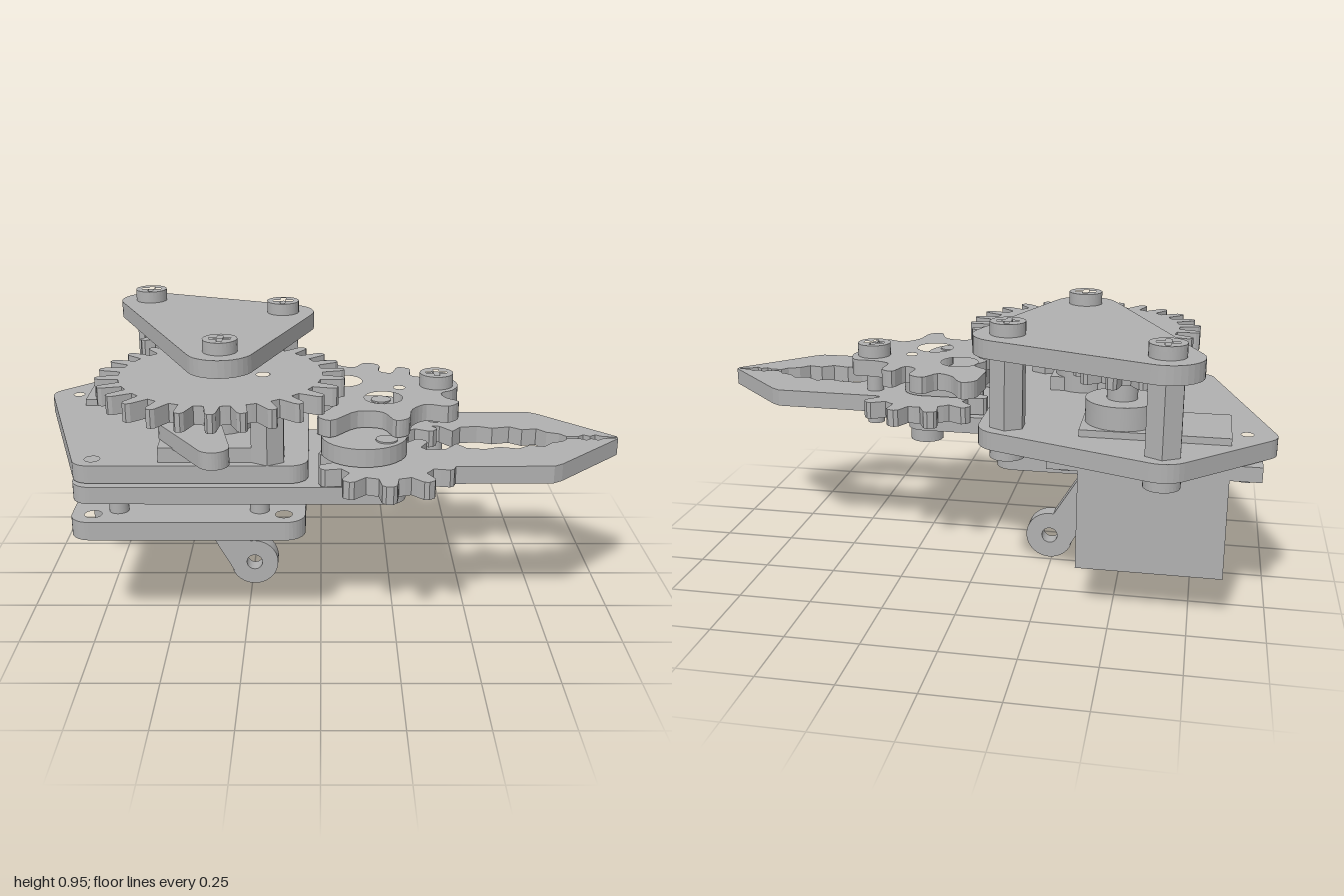
import * as THREE from 'three';

const grey = new THREE.MeshStandardMaterial({ color: 0xb0b0b0 });
grey.name = 'grey plastic';

export function createModel() {
  const root = new THREE.Group();
  root.name = 'roboticGripper';

  const add = (geo, name) => {
    const m = new THREE.Mesh(geo, grey);
    m.name = name;
    root.add(m);
    return m;
  };
  const V = ([x, z]) => new THREE.Vector2(x, -z);
  const circle = (x, z, r, n = 28) => Array.from({ length: n }, (_, i) => {
    const a = (i / n) * Math.PI * 2;
    return [x + r * Math.cos(a), z + r * Math.sin(a)];
  });

  // Horizontal slab from an [x, z] outline, with optional hole outlines
  const slab = (name, pts, y0, y1, holes = []) => {
    const s = new THREE.Shape(pts.map(V));
    for (const h of holes) s.holes.push(new THREE.Path(h.map(V)));
    const g = new THREE.ExtrudeGeometry(s, { depth: y1 - y0, bevelEnabled: false });
    g.rotateX(-Math.PI / 2).translate(0, y0, 0);
    return add(g, name);
  };

  // Convex outline wrapped around circles [x, z, r]
  const wrap = (circles) => {
    const p = circles.flatMap(([x, z, r]) => circle(x, z, r, 32));
    p.sort((a, b) => a[0] - b[0] || a[1] - b[1]);
    const half = (list) => {
      const h = [];
      for (const q of list) {
        while (h.length > 1) {
          const [a, b] = h.slice(-2);
          if ((b[0] - a[0]) * (q[1] - a[1]) - (b[1] - a[1]) * (q[0] - a[0]) > 1e-9) break;
          h.pop();
        }
        h.push(q);
      }
      return h.slice(0, -1);
    };
    return [...half(p), ...half([...p].reverse())];
  };

  // Gear outline with rounded teeth
  const gear = (x, z, root_, tip, n, phase = 0) => {
    const tooth = [[-0.5, 0], [-0.3, 0], [-0.24, 0.35], [-0.17, 0.85], [-0.08, 1], [0.08, 1], [0.17, 0.85], [0.24, 0.35], [0.3, 0]];
    const out = [];
    for (let i = 0; i < n; i++) for (const [u, h] of tooth) {
      const a = ((i + u + phase) / n) * Math.PI * 2, r = root_ + (tip - root_) * h;
      out.push([x + r * Math.cos(a), z + r * Math.sin(a)]);
    }
    return out;
  };

  const rod = (name, x, z, r, y0, y1, sides = 28) => {
    let g = new THREE.CylinderGeometry(r, r, y1 - y0, sides);
    if (sides < 9) g = g.toNonIndexed();
    if (sides < 9) g.computeVertexNormals();
    return add(g.translate(x, (y0 + y1) / 2, z), name);
  };
  const box = (name, x0, x1, y0, y1, z0, z1) =>
    add(new THREE.BoxGeometry(x1 - x0, y1 - y0, z1 - z0)
      .translate((x0 + x1) / 2, (y0 + y1) / 2, (z0 + z1) / 2), name);

  // Screw head with a cross recess on its upper or lower face
  const screw = (x, z, r, y0, y1, up) => {
    const l = r * 0.62, w = r * 0.16;
    const cross = [[l, w], [w, w], [w, l], [-w, l], [-w, w], [-l, w], [-l, -w], [-w, -w], [-w, -l], [w, -l], [w, -w], [l, -w]]
      .map(([a, b]) => [x + a, z + b]);
    const mid = up ? y1 - 0.015 : y0 + 0.015;
    rod('screwHeadBase', x, z, r, up ? y0 : mid, up ? mid : y1);
    slab('screwHeadRim', circle(x, z, r), up ? mid : y0, up ? y1 : mid, [cross]);
  };

  // Triangular top plate, its screws and the hexagonal standoffs
  const posts = [[-0.65, -0.51], [-0.14, -0.32]];
  const hub = [-0.33, 0.2];
  slab('topPlate', wrap([...posts, hub].map(([x, z]) => [x, z, 0.113])), 0.855, 0.915);
  for (const [x, z] of [...posts, hub]) screw(x, z, 0.058, 0.915, 0.957, true);
  for (const [x, z] of posts) {
    rod('standoff', x, z, 0.062, 0.61, 0.855, 6);
    screw(x, z, 0.058, 0.505, 0.55, false);
  }

  // Main plate
  slab('mainPlate', wrap([[-0.93, -0.27, 0.07], [-0.65, -0.51, 0.095], [-0.14, -0.32, 0.095], [-0.1, 0.39, 0.06], [-0.74, 0.39, 0.06]]),
    0.55, 0.61, [circle(-0.905, -0.27, 0.02), circle(-0.735, 0.39, 0.025)]);

  // Drive gear, axle and pinion
  slab('driveGear', gear(...hub, 0.335, 0.41, 26, 0.5), 0.777, 0.838, [circle(-0.19, 0.21, 0.023)]);
  rod('gearAxle', ...hub, 0.03, 0.61, 0.855);
  rod('gearHub', ...hub, 0.1, 0.61, 0.777);
  slab('pinion', gear(-0.505, -0.27, 0.1, 0.158, 9), 0.777, 0.838);
  rod('linkPost', -0.17, 0.39, 0.06, 0.61, 0.777, 6);
  slab('driveLink', wrap([[-0.33, 0.55, 0.05], [-0.43, 0.3, 0.1]]), 0.655, 0.712);
  box('guideBlock', -0.52, -0.22, 0.61, 0.66, 0.12, 0.42);

  // Servo motor
  box('servoBody', -0.855, -0.38, 0.157, 0.633, -0.393, -0.14);
  box('servoEars', -0.955, -0.28, 0.495, 0.545, -0.393, -0.14);
  rod('servoCollar', -0.505, -0.27, 0.118, 0.633, 0.71);
  rod('servoShaft', -0.505, -0.27, 0.05, 0.71, 0.777);
  for (const x of [-0.907, -0.33]) screw(x, -0.27, 0.04, 0.462, 0.495, false);

  // Lower carrier plate and short upper plate holding the fingers
  const corner = (x0, x1, r) => [[x0, 0, r], [x1, 0, r], [x1, 0.41, r], [x0, 0.41, r]];
  slab('carrierPlate', wrap(corner(-0.735, 0.21, 0.063)), 0.488, 0.546, [circle(-0.735, 0.39, 0.025)]);
  slab('fingerCover', wrap([[0.21, 0.02, 0.08], [0.1, 0.02, 0.08], [0.14, 0.335, 0.14]]), 0.615, 0.675);
  screw(0.21, 0.01, 0.058, 0.44, 0.488, false);
  screw(0.21, 0.3, 0.058, 0.45, 0.488, false);
  screw(-0.705, 0.12, 0.04, 0.455, 0.488, false);
  screw(-0.705, 0.3, 0.04, 0.455, 0.488, false);

  // Pair of geared fingers, mirrored about z = 0.19
  const blade = [[0.2, 0.5], [0.35, 0.455], [0.74, 0.45], [0.77, 0.43], [1, 0.2], [1, 0.192], [0.95, 0.2], [0.93, 0.215],
    [0.91, 0.2], [0.89, 0.215], [0.87, 0.2], [0.83, 0.2], [0.81, 0.225], [0.77, 0.24], [0.74, 0.275], [0.69, 0.265],
    [0.65, 0.295], [0.59, 0.28], [0.54, 0.3], [0.48, 0.29], [0.45, 0.25], [0.41, 0.3], [0.21, 0.32]];
  for (const side of [1, -1]) {
    const flip = (p) => p.map(([x, z]) => [x, 0.19 + side * (z - 0.19)]);
    slab('finger', flip(blade), 0.551, 0.61);
    slab('fingerGear', flip(gear(0.21, 0.395, 0.165, 0.225, 10, side > 0 ? 0.5 : 0)), 0.551, 0.61);
    rod('fingerPivot', 0.21, 0.19 + side * 0.2, 0.035, 0.488, 0.68);
  }

  // Crank gear on top of the fingers
  const crank = [[-0.03, -0.2], [-0.02, -0.27], [0.02, -0.29], [0.07, -0.22], [0.12, -0.2], [0.16, -0.255], [0.21, -0.23],
    [0.21, -0.15], [0.25, -0.13], [0.28, -0.2], [0.32, -0.18], [0.32, -0.1], [0.38, -0.075], [0.45, -0.07], [0.475, 0.01],
    [0.45, 0.07], [0.41, 0.1], [0.42, 0.15], [0.46, 0.19], [0.42, 0.24], [0.35, 0.22], [0.3, 0.27], [0.28, 0.36], [0.24, 0.38],
    [0.2, 0.3], [0.12, 0.29], [0.03, 0.38], [-0.01, 0.34], [0.04, 0.24], [0.03, 0.17], [-0.01, 0.12], [0.03, 0.05],
    [-0.01, 0], [0.02, -0.07], [-0.03, -0.12]];
  const curve = new THREE.CatmullRomCurve3(crank.map(([x, z]) => new THREE.Vector3(x, 0, z)), true);
  slab('crankGear', curve.getPoints(140).slice(0, -1).map((p) => [p.x, p.z]), 0.68, 0.738,
    [circle(0.08, -0.035, 0.065), circle(0.21, 0.15, 0.065), circle(0.27, 0.04, 0.02)]);
  screw(0.4, 0.01, 0.058, 0.738, 0.783, true);
  rod('crankBolt', 0.4, 0.01, 0.03, 0.49, 0.738);

  // Mounting bracket with corner holes and a central window
  const holes = corner(-0.74, -0.12, 0.028).map((c) => circle(...c));
  slab('bracketPlate', wrap(corner(-0.745, -0.115, 0.065)), 0.362, 0.425,
    [...holes, [[-0.6, 0.1], [-0.25, 0.1], [-0.25, 0.32], [-0.6, 0.32]]]);
  for (const x of [-0.66, -0.2]) for (const z of [0.05, 0.375]) rod('bracketSpacer', x, z, 0.032, 0.425, 0.49);

  // Upright lug with an eye at its lower end
  const lug = new THREE.Shape();
  lug.moveTo(-0.7, 0.42).lineTo(-0.6, 0.362).quadraticCurveTo(-0.49, 0.36, -0.44, 0.28);
  lug.lineTo(-0.315, 0.055);
  lug.absarc(-0.24, 0.087, 0.085, Math.PI * 1.13, Math.PI * 2.55, false);
  lug.lineTo(-0.345, 0.32).quadraticCurveTo(-0.36, 0.36, -0.3, 0.365);
  lug.lineTo(-0.2, 0.42).lineTo(-0.2, 0.485).lineTo(-0.7, 0.485);
  for (const [x, y] of [[-0.24, 0.087], [-0.45, 0.455]]) {
    lug.holes.push(new THREE.Path().absarc(x, y, 0.028, 0, Math.PI * 2, true));
  }
  add(new THREE.ExtrudeGeometry(lug, { depth: 0.06, bevelEnabled: false, curveSegments: 24 }).translate(0, 0, 0.02), 'mountingLug');

  return root;
}
